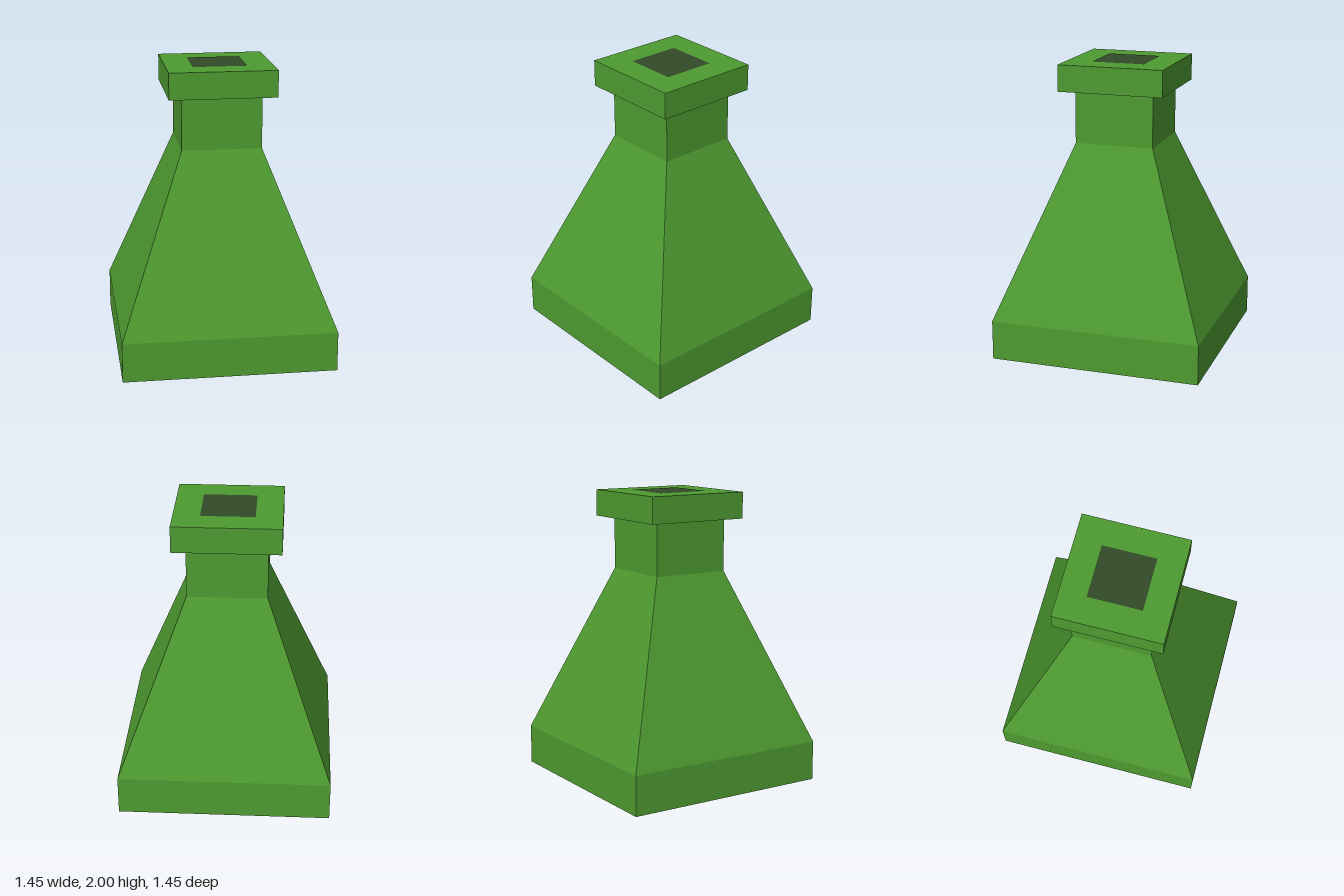
import * as THREE from 'three';

const U = 1 / 11; // modelling unit: the flask is 22 units tall

// Square block between two heights, tapering from one width to another
function squareBlock(name, bottomWidth, topWidth, y0, y1, material) {
  const geometry = new THREE.BoxGeometry(1, (y1 - y0) * U, 1);
  const pos = geometry.attributes.position;
  for (let i = 0; i < pos.count; i++) {
    const width = (pos.getY(i) > 0 ? topWidth : bottomWidth) * U;
    pos.setX(i, pos.getX(i) * width);
    pos.setZ(i, pos.getZ(i) * width);
  }
  geometry.computeVertexNormals(); // faces share no vertices, so edges stay sharp
  const mesh = new THREE.Mesh(geometry, material);
  mesh.name = name;
  mesh.position.y = ((y0 + y1) / 2) * U;
  return mesh;
}

export function createModel() {
  const green = new THREE.MeshStandardMaterial({ color: 0x4e9b31 });
  green.name = 'green';
  const dark = new THREE.MeshStandardMaterial({ color: 0x314b29 });
  dark.name = 'dark green';

  const flask = new THREE.Group();
  flask.name = 'squareFlask';
  flask.add(
    squareBlock('base', 16, 16, 0, 3, green),
    squareBlock('shoulder', 16, 6, 3, 16, green),
    squareBlock('neck', 6, 6, 16, 20, green),
    squareBlock('lip', 8, 8, 20, 22, green)
  );

  // Dark mouth, a flat square just above the lip
  const mouth = new THREE.Mesh(new THREE.PlaneGeometry(4 * U, 4 * U), dark);
  mouth.name = 'mouth';
  mouth.rotation.x = -Math.PI / 2;
  mouth.position.y = 22 * U + 0.002;
  flask.add(mouth);

  return flask;
}
